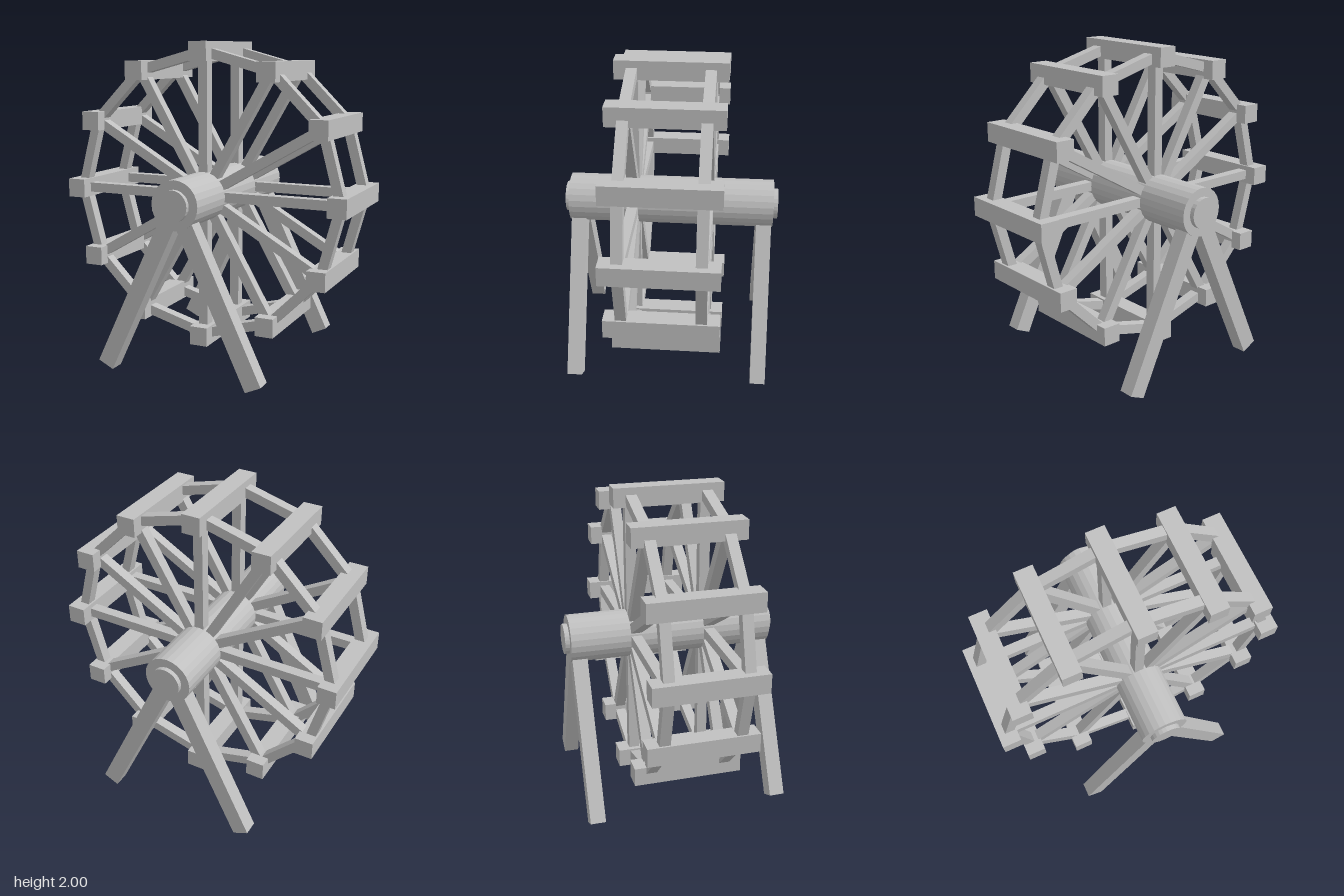
import * as THREE from 'three';

const HUB_Y = 1.063, RADIUS = 0.878, COUNT = 12;

export function createModel() {
  const model = new THREE.Group();
  model.name = 'ferrisWheel';
  const grey = new THREE.MeshStandardMaterial({ color: 0xc0c0c0, flatShading: true });
  grey.name = 'lightGrey';

  const add = (parent, name, geometry, x, y, z) => {
    const mesh = new THREE.Mesh(geometry, grey);
    mesh.name = name;
    mesh.position.set(x, y, z);
    parent.add(mesh);
    return mesh;
  };

  // straight square bar between two points in a plane of constant z
  const bar = (parent, name, a, b, z, width, depth) => {
    const d = b.clone().sub(a);
    const mesh = add(parent, name, new THREE.BoxGeometry(width, d.length(), depth),
      (a.x + b.x) / 2, (a.y + b.y) / 2, z);
    mesh.rotation.z = Math.atan2(d.y, d.x) - Math.PI / 2;
    return mesh;
  };

  // axle with a narrower cap standing out at each end
  const cylinder = (radius, length) =>
    new THREE.CylinderGeometry(radius, radius, length, 24).rotateX(Math.PI / 2);
  add(model, 'axle', cylinder(0.15, 1.284), 0, HUB_Y, 0);
  for (const s of [-1, 1]) add(model, 'axleCap', cylinder(0.095, 0.04), 0, HUB_Y, s * 0.651);

  // wheel: two rings of spokes and rim bars, joined by level crossbeams
  const wheel = new THREE.Group();
  wheel.name = 'wheel';
  wheel.position.y = HUB_Y;
  model.add(wheel);
  const centre = new THREE.Vector2();
  const rimPoint = (i) => {
    const a = (i / COUNT) * Math.PI * 2;
    return new THREE.Vector2(Math.cos(a) * RADIUS, Math.sin(a) * RADIUS);
  };
  for (let i = 0; i < COUNT; i++) {
    const p = rimPoint(i);
    add(wheel, 'crossbeam', new THREE.BoxGeometry(0.118, 0.118, 0.685), p.x, p.y, 0);
    for (const z of [-0.235, 0.235]) {
      bar(wheel, 'spoke', centre, p, z, 0.06, 0.066);
      bar(wheel, 'rimBar', p, rimPoint(i + 1), z, 0.06, 0.066);
    }
  }

  // splayed support legs, a pair at each end of the axle
  const top = new THREE.Vector2(0, HUB_Y);
  for (const z of [-0.587, 0.587]) {
    for (const s of [-1, 1]) {
      bar(model, 'leg', top, new THREE.Vector2(s * 0.495, 0.0235), z, 0.108, 0.095);
    }
  }
  return model;
}
